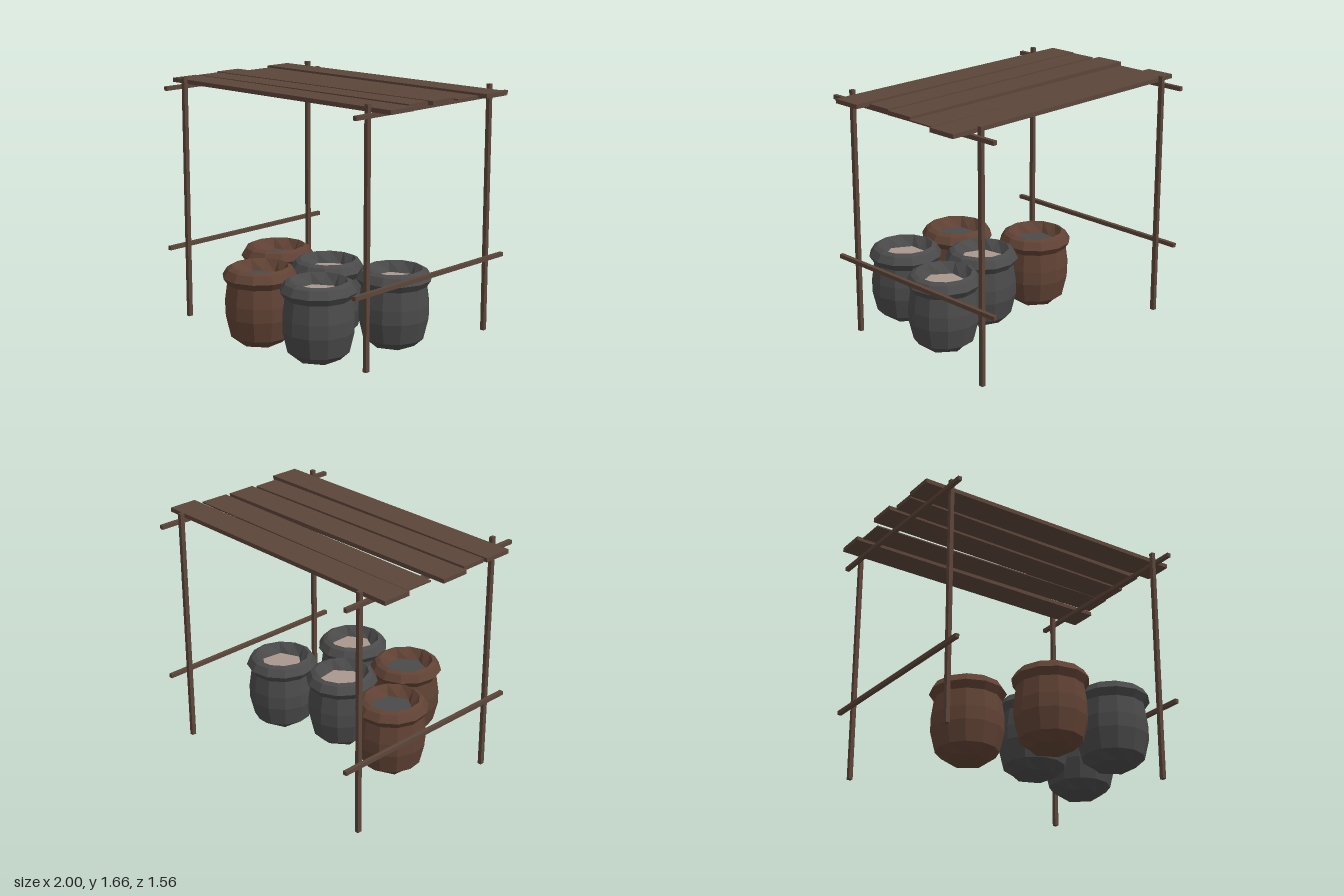
import * as THREE from 'three';

const material = (name, color, flat) => {
  const m = new THREE.MeshStandardMaterial({ color, flatShading: flat });
  m.name = name;
  return m;
};

export function createModel() {
  const wood = material('wood', 0x5c4539, true);
  const brown = material('brown cloth', 0x604234, true);
  const grey = material('dark grey', 0x4a4a4a, true);
  const pale = material('pale grain', 0xa8978f, true);
  const model = new THREE.Group();
  model.name = 'marketStall';

  const box = (name, w, h, d, x, y, z, turn = 0) => {
    const mesh = new THREE.Mesh(new THREE.BoxGeometry(w, h, d), wood);
    mesh.name = name;
    mesh.position.set(x, y, z);
    mesh.rotation.y = turn;
    model.add(mesh);
  };

  // Posts, with two rails fixed to the outside of each pair
  for (const [side, x] of [[-1, -0.813], [1, 0.824]]) {
    for (const z of [0.51, -0.642]) box('post', 0.027, 1.645, 0.03, x, 0.84, z);
    for (const y of [0.517, 1.597]) box('rail', 0.027, 0.027, 1.435, x + side * 0.027, y, -0.066);
  }

  // Roof planks: x start, x end, z centre, depth, turn, thickness
  const planks = [
    [-0.975, 0.997, -0.497, 0.197, -0.003, 0.028],
    [-0.943, 0.953, -0.275, 0.198, -0.011, 0.009],
    [-1.0, 0.93, -0.045, 0.198, 0.006, 0.028],
    [-0.96, 0.91, 0.163, 0.175, 0.009, 0.028],
    [-0.975, 0.98, 0.378, 0.2, -0.005, 0.028],
  ];
  for (const [x0, x1, z, depth, turn, h] of planks) {
    box('roofPlank', x1 - x0, h, depth, (x0 + x1) / 2, 1.625, z, turn);
  }

  // Sack: twelve-sided body with a rolled rim; base and mouth narrow to hexagons
  const profile = [
    [0, 0.004], [0.14, 0.01], [0.2, 0.065], [0.232, 0.2], [0.232, 0.29],
    [0.215, 0.41], [0.246, 0.455], [0.215, 0.505], [0.185, 0.52], [0.145, 0.45],
  ].map(([r, y]) => new THREE.Vector2(r, y));
  const sackGeometry = new THREE.LatheGeometry(profile, 12);
  const pos = sackGeometry.attributes.position;
  for (let i = 1; i < 12; i += 2) {
    for (const ring of [1, profile.length - 1]) {
      const v = i * profile.length + ring;
      pos.setX(v, pos.getX(v) * 0.866);
      pos.setZ(v, pos.getZ(v) * 0.866);
    }
  }
  const fillGeometry = new THREE.CircleGeometry(0.145, 6, Math.PI / 2);
  fillGeometry.rotateX(-Math.PI / 2);

  const sacks = [
    [-0.08, 0.535, 0.1, brown, grey],
    [-0.39, 0.08, -0.1, brown, grey],
    [0.42, 0.51, 0, grey, pale],
    [0.105, 0.1, 0.15, grey, pale],
    [0.57, -0.03, -0.12, grey, pale],
  ];
  for (const [x, z, turn, cloth, filling] of sacks) {
    const sack = new THREE.Group();
    sack.name = 'sack';
    const body = new THREE.Mesh(sackGeometry, cloth);
    body.name = 'sackBody';
    const fill = new THREE.Mesh(fillGeometry, filling);
    fill.name = 'sackFilling';
    fill.position.y = 0.45;
    sack.add(body, fill);
    sack.position.set(x, 0, z);
    sack.rotation.y = turn;
    model.add(sack);
  }
  return model;
}
